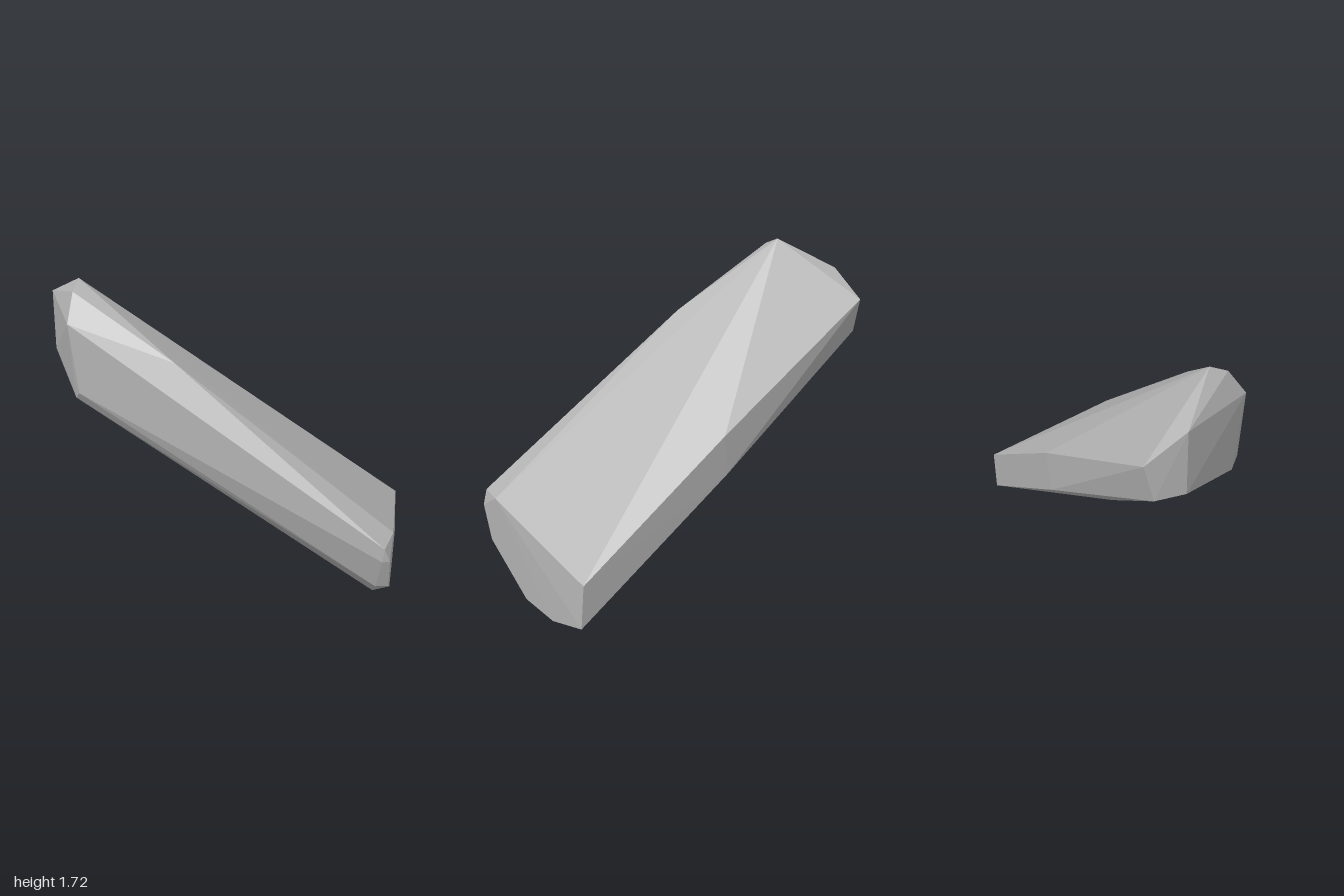
import * as THREE from 'three';
import { ConvexGeometry } from 'three/addons/geometries/ConvexGeometry.js';

// Corner points of the faceted stone, grouped by region
const lowerEndCap = [
  [0.995, 0.515, 0.32], [0.99, 0.42, 0.465], [0.99, 0.23, 0.40], [0.99, 0.01, 0.06],
  [0.99, 0.003, -0.2], [0.99, 0.09, -0.47], [0.975, 0.34, -0.48],
];
const lowerEndBevel = [
  [0.96, 0.5, 0.478], [0.95, 0.42, 0.475], [0.92, 0.22, 0.40],
  [0.9, 0.07, 0.21], [0.88, 0.03, 0.02], [0.7, 0.12, -0.05],
];
const middleRidges = [
  [-0.2, 1.36, 0.24], [0.06, 0.9, -0.48], [0.03, 0.67, -0.472], [-0.4, 0.825, -0.3],
];
const upperEnd = [
  [-0.765, 1.725, 0.035], [-0.77, 1.68, 0.135], [-0.775, 1.535, 0.24],
  [-0.73, 1.145, 0.24], [-0.765, 1.095, 0.19],
  [-1, 1.565, -0.2], [-1, 1.22, -0.2], [-0.985, 1.43, -0.42], [-0.997, 1.23, -0.37],
];

export function createModel() {
  const group = new THREE.Group();
  group.name = 'stone';
  const stoneGrey = new THREE.MeshStandardMaterial({ color: 0xb4b4b4, flatShading: true });
  stoneGrey.name = 'stoneGrey';

  // One convex slanted block wrapped around all corners
  const corners = [...lowerEndCap, ...lowerEndBevel, ...middleRidges, ...upperEnd]
    .map(([x, y, z]) => new THREE.Vector3(x, y, z));
  const block = new THREE.Mesh(new ConvexGeometry(corners), stoneGrey);
  block.name = 'slantedStoneBlock';
  group.add(block);
  return group;
}
